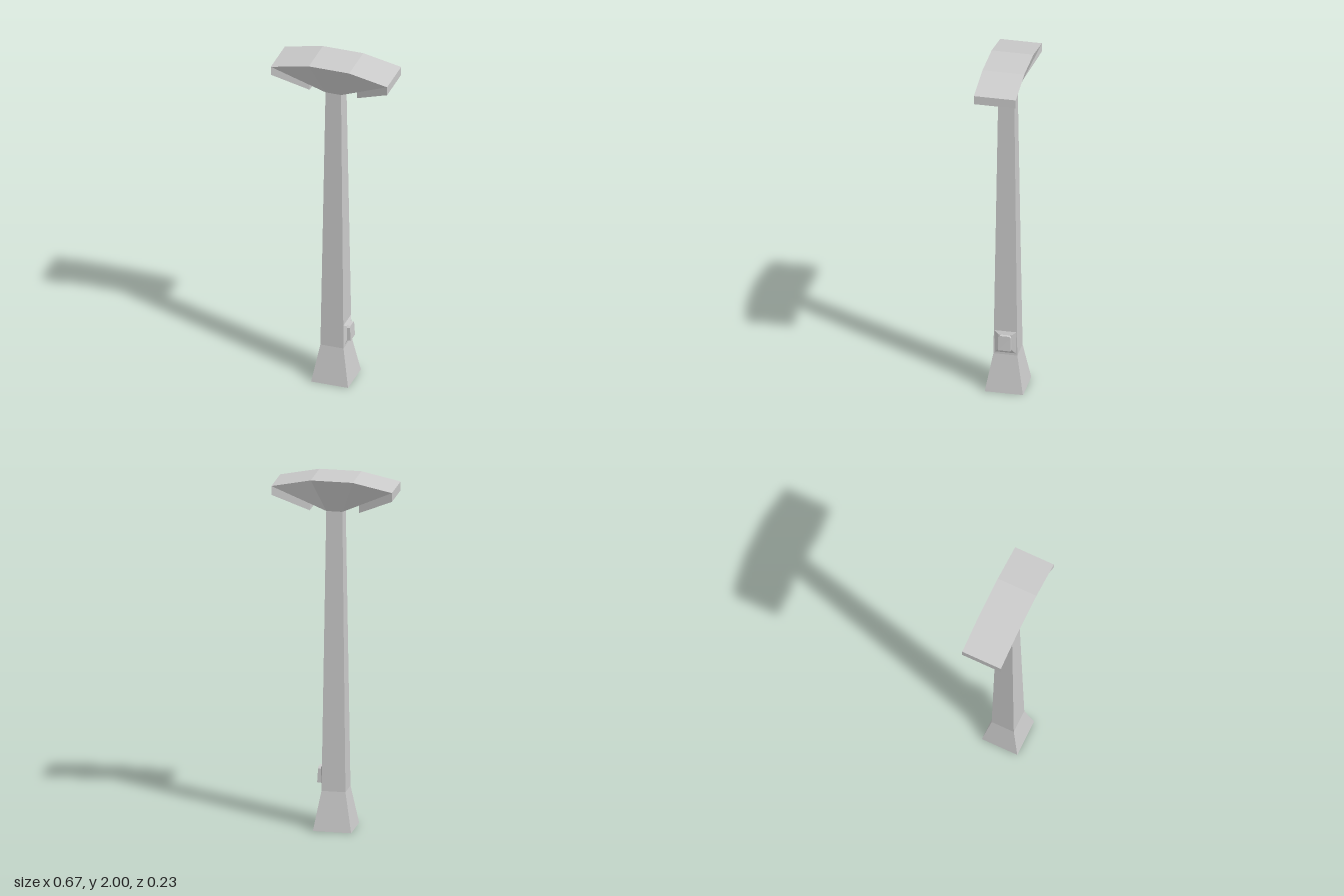
import * as THREE from 'three';

const material = new THREE.MeshStandardMaterial({ color: 0xcccccc, flatShading: true });

// Skins rings of corners (counter-clockwise seen from the last ring) and caps both ends.
function loft(name, rings) {
  const positions = [];
  const tri = (a, b, c) => {
    const [va, vb, vc] = [a, b, c].map((p) => new THREE.Vector3(...p));
    const area = vb.clone().sub(va).cross(vc.clone().sub(va)).length();
    if (area > 1e-9) positions.push(...a, ...b, ...c);
  };
  const n = rings[0].length;
  for (let i = 0; i < rings.length - 1; i++) {
    for (let j = 0; j < n; j++) {
      const k = (j + 1) % n;
      const [a, b, c, d] = [rings[i][j], rings[i][k], rings[i + 1][k], rings[i + 1][j]];
      tri(a, b, c);
      tri(a, c, d);
    }
  }
  const first = rings[0], last = rings[rings.length - 1];
  for (let j = 1; j < n - 1; j++) {
    tri(first[0], first[j + 1], first[j]);
    tri(last[0], last[j], last[j + 1]);
  }
  const geometry = new THREE.BufferGeometry();
  geometry.setAttribute('position', new THREE.Float32BufferAttribute(positions, 3));
  geometry.computeVertexNormals();
  const mesh = new THREE.Mesh(geometry, material);
  mesh.name = name;
  return mesh;
}

// Square ring at height y with half width r.
const square = (y, r) => [[r, y, r], [r, y, -r], [-r, y, -r], [-r, y, r]];

// Four-cornered ring for lofts along x: bottom and top edges have their own x and half depth.
const section = (xb, yb, zb, xt, yt, zt) =>
  [[xb, yb, zb], [xb, yb, -zb], [xt, yt, -zt], [xt, yt, zt]];

export function createModel() {
  const group = new THREE.Group();
  group.name = 'lampPost';

  // Flared foot and slender tapering pole
  group.add(loft('base', [square(0, 0.107), square(0.22, 0.067)]));
  group.add(loft('pole', [square(0.22, 0.067), square(1.81, 0.045)]));

  // Winged head: pointed tips, flat crown, narrow neck
  group.add(loft('head', [
    section(-0.337, 1.955, 0.117, -0.337, 1.955, 0.117),
    section(-0.045, 1.81, 0.045, -0.117, 2, 0.117),
    section(0.045, 1.81, 0.045, 0.117, 2, 0.117),
    section(0.337, 1.955, 0.117, 0.337, 1.955, 0.117),
  ]));

  // Tapered lamp panel under each wing
  for (const [name, turn] of [['leftLamp', 0], ['rightLamp', Math.PI]]) {
    const lamp = loft(name, [
      section(0.137, 1.808, 0.045, 0.137, 1.857, 0.045),
      section(0.337, 1.905, 0.117, 0.337, 1.955, 0.117),
    ]);
    lamp.rotation.y = turn;
    group.add(lamp);
  }

  // Shallow bevelled mounting plate on the left side of the pole
  group.add(loft('buttonMount', [
    section(0.064, 0.225, 0.065, 0.064, 0.365, 0.064),
    section(0.075, 0.255, 0.036, 0.075, 0.345, 0.036),
  ]));

  // Button box with clipped top corners and a leaning face
  const buttonRing = (xBottom, xTop) => [
    [xBottom, 0.258, 0.035], [xBottom, 0.258, -0.035],
    [xTop, 0.336, -0.035], [xTop, 0.345, -0.026],
    [xTop, 0.345, 0.026], [xTop, 0.336, 0.035],
  ];
  group.add(loft('button', [buttonRing(0.07, 0.07), buttonRing(0.098, 0.093)]));

  return group;
}
